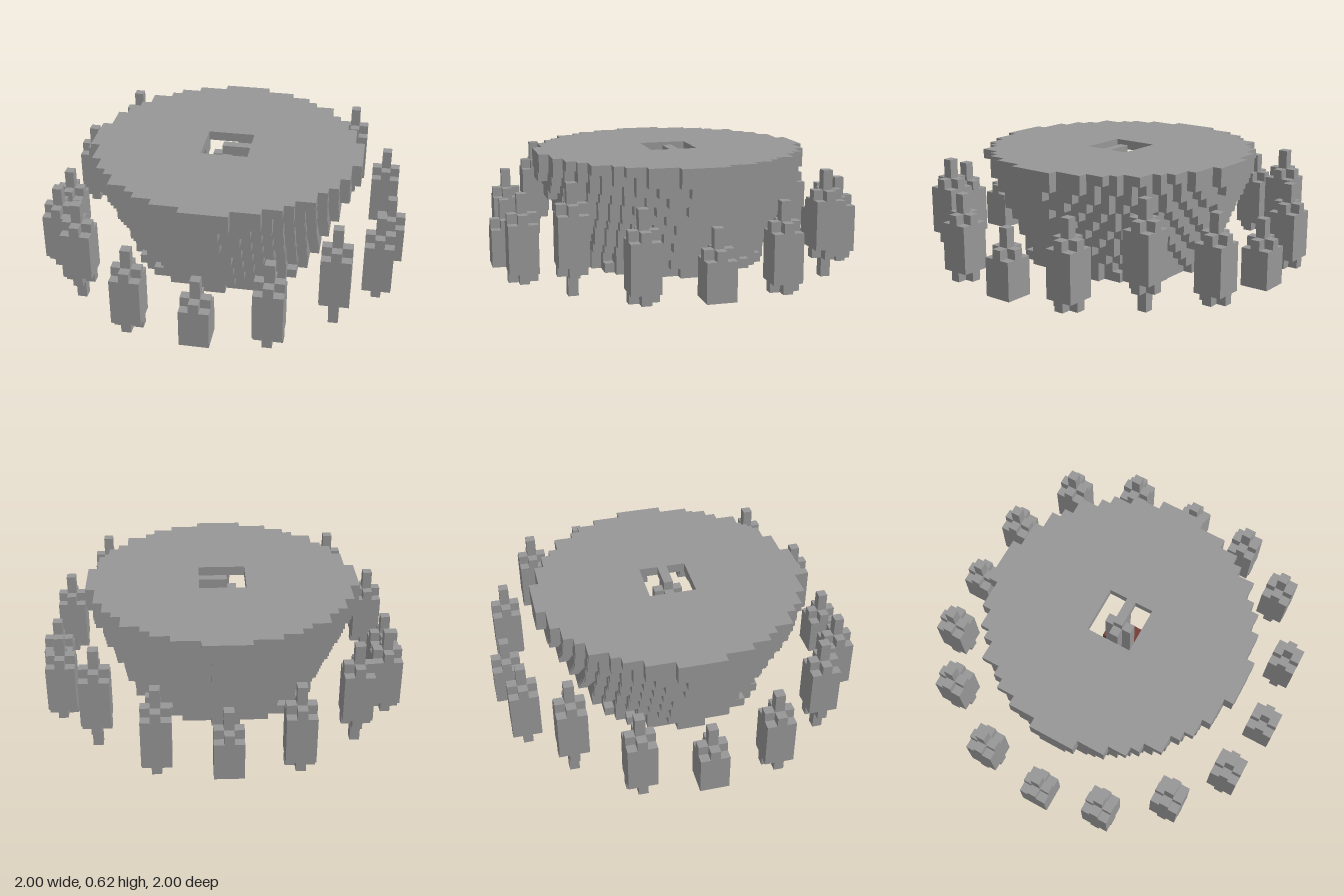
import * as THREE from 'three';

const S = 2 / 39; // edge of one cell

const stone = new THREE.MeshStandardMaterial({ color: 0x979797 });
stone.name = 'stone grey';
const red = new THREE.MeshStandardMaterial({ color: 0x733d36 });
red.name = 'brick red';

// Builds the exposed cell faces of a shape given by a rule filled(x, layer, z);
// closed() may mark empty cells that need no face towards them.
function voxelMesh(name, material, reach, layers, filled, closed = () => false) {
  const pos = [];
  const addFace = (c, axis, sign) => {
    const u = (axis + 1) % 3, v = (axis + 2) % 3;
    const corner = (a, b) => {
      const p = [c[0], c[1] + 0.5, c[2]];
      p[axis] += sign * 0.5;
      p[u] += a * 0.5;
      p[v] += b * 0.5 * sign;
      return p.map((n) => n * S);
    };
    const [a, b, d, e] = [corner(-1, -1), corner(1, -1), corner(1, 1), corner(-1, 1)];
    pos.push(...a, ...b, ...d, ...a, ...d, ...e);
  };
  for (let y = 0; y < layers; y++)
    for (let x = -reach; x <= reach; x++)
      for (let z = -reach; z <= reach; z++) {
        if (!filled(x, y, z)) continue;
        for (let axis = 0; axis < 3; axis++)
          for (const sign of [-1, 1]) {
            const n = [x, y, z];
            n[axis] += sign;
            if (n[1] >= 0 && n[1] < layers && (filled(...n) || closed(...n))) continue;
            addFace([x, y, z], axis, sign);
          }
      }
  const g = new THREE.BufferGeometry();
  g.setAttribute('position', new THREE.Float32BufferAttribute(pos, 3));
  g.computeVertexNormals();
  const mesh = new THREE.Mesh(g, material);
  mesh.name = name;
  return mesh;
}

// Spindle: one-cell tips, plus-shaped collars and a 3 x 3 shaft, cut off at the ground
function spindle(x, z, drop) {
  const filled = (i, y, k) => {
    const h = y + drop, d = Math.abs(i) + Math.abs(k);
    if (Math.max(Math.abs(i), Math.abs(k)) > 1 || h < 0 || h > 10) return false;
    if (h < 2 || h > 8) return d === 0;
    return h === 2 || h === 8 ? d <= 1 : true;
  };
  const m = voxelMesh('spindle', stone, 1, 11 - drop, filled);
  m.position.set(x * S, 0, z * S);
  return m;
}

function block(name, material, x0, x1, y0, y1, z0, z1) {
  const m = new THREE.Mesh(new THREE.BoxGeometry((x1 - x0 + 1) * S, (y1 - y0 + 1) * S, (z1 - z0 + 1) * S), material);
  m.position.set((x0 + x1) / 2 * S, (y0 + y1 + 1) / 2 * S, (z0 + z1) / 2 * S);
  m.name = name;
  return m;
}

// Radius of the bowl: a capped cone, slightly slimmer towards the diagonals between top and base
function bowlRadius(x, y, z) {
  const diagonal = (2 * x * z / (x * x + z * z)) ** 2;
  return Math.min(14.2, 10.1 + 0.44 * y) - (y > 0 && y < 11 ? 0.6 * diagonal : 0);
}

export function createModel() {
  const model = new THREE.Group();
  model.name = 'island';

  // Flaring bowl with a flat top and base, and a square well through both
  const well = (x, z) => Math.abs(x) <= 2 && Math.abs(z) <= 2;
  model.add(voxelMesh('bowl', stone, 15, 12,
    (x, y, z) => !well(x, z) && Math.hypot(x, z) <= bowlRadius(x, y, z),
    (x, y, z) => well(x, z) && y > 0 && y < 11));

  // Ring of sixteen spindles, rising towards the diagonals
  const ring = new THREE.Group();
  ring.name = 'spindleRing';
  for (let q = 0; q < 4; q++) {
    const c = [1, 0, -1, 0][q], s = [0, 1, 0, -1][q];
    for (const [x, z, drop] of [[18, 0, 4], [17, 7, 2], [13, 13, 0], [7, 17, 2]])
      ring.add(spindle(x * c - z * s, x * s + z * c, drop));
  }
  model.add(ring);

  // Plus-shaped post, landing flush with the top, and winding steps inside the well
  const stair = new THREE.Group();
  stair.name = 'stair';
  stair.add(voxelMesh('post', stone, 1, 11, (x, y, z) => Math.abs(x) + Math.abs(z) <= (y < 2 ? 0 : 1)));
  stair.add(block('landing', stone, 0, 2, 11, 11, 0, 0));
  const steps = [[-2, -2, 0, 0, 0], [-2, -1, -2, -1, 0], [0, 0, -2, -2, 1], [1, 2, -2, -1, 2], [1, 2, 1, 2, 4]];
  for (const [x0, x1, z0, z1, y] of steps) stair.add(block('step', red, x0, x1, y, y, z0, z1));
  model.add(stair);

  return model;
}
